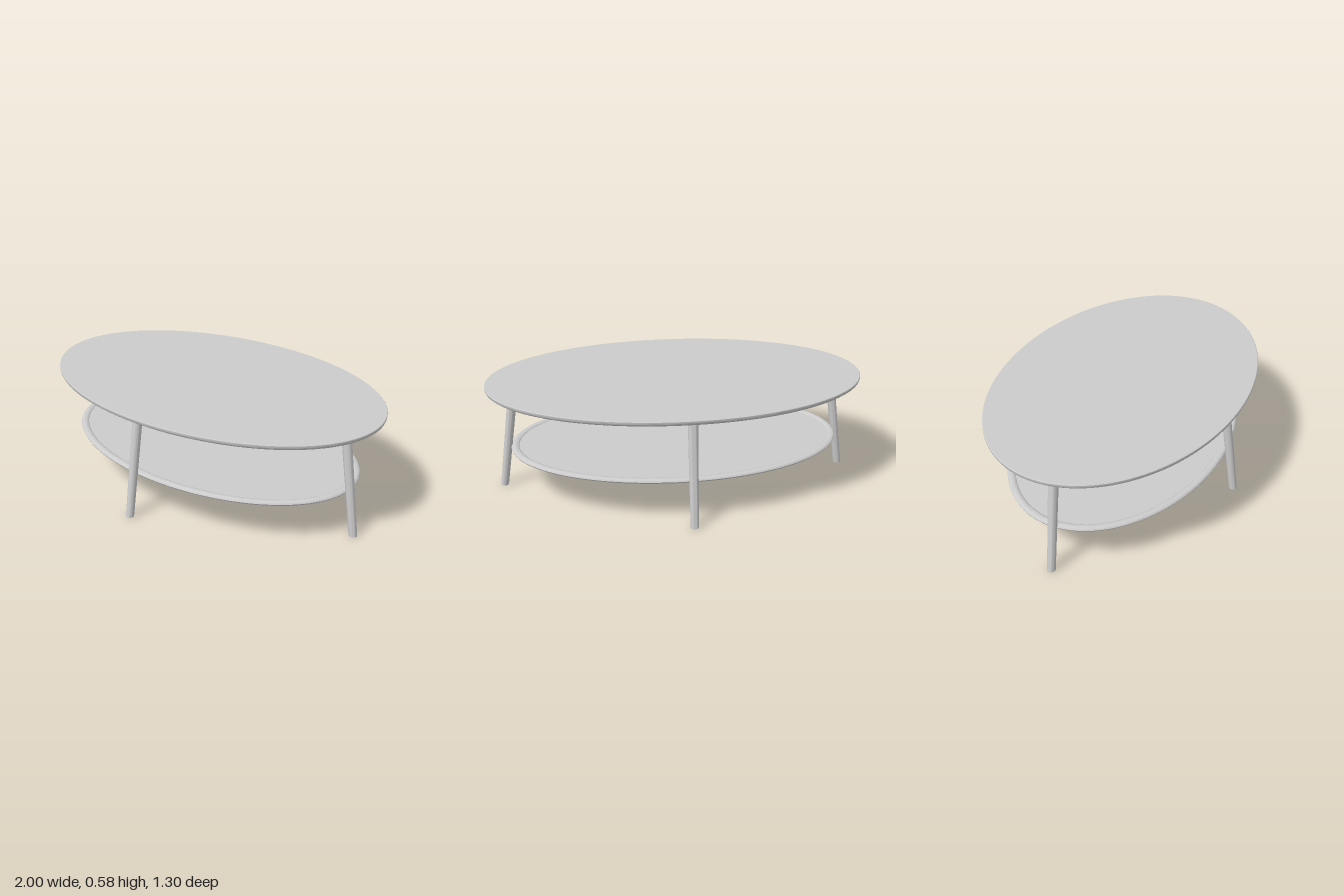
import * as THREE from 'three';
import { toCreasedNormals } from 'three/addons/utils/BufferGeometryUtils.js';

const material = new THREE.MeshStandardMaterial({ color: 0xcccccc });

// Oval solid: profile of [inset from rim, height] pairs, running bottom to top;
// an inset of 1 is the centre point.
function oval(name, rx, rz, profile) {
  const points = profile.map(([inset, y]) => new THREE.Vector2(1 - inset, y));
  const geometry = new THREE.LatheGeometry(points, 128);
  const p = geometry.attributes.position;
  for (let i = 0; i < p.count; i++) {
    const r = Math.hypot(p.getX(i), p.getZ(i));
    if (r < 1e-6) continue;
    const inset = 1 - r;
    p.setX(i, (p.getX(i) / r) * (rx - inset));
    p.setZ(i, (p.getZ(i) / r) * (rz - inset));
  }
  const mesh = new THREE.Mesh(toCreasedNormals(geometry, 0.6), material);
  mesh.name = name;
  return mesh;
}

// Splayed round leg, cut level at the floor and under the top
function leg(name, foot, head) {
  const height = 0.552;
  const geometry = new THREE.CylinderGeometry(0.025, 0.021, height, 32);
  geometry.translate(0, height / 2, 0);
  const p = geometry.attributes.position;
  for (let i = 0; i < p.count; i++) {
    p.setX(i, p.getX(i) + THREE.MathUtils.lerp(foot, head, p.getY(i) / height));
  }
  const mesh = new THREE.Mesh(toCreasedNormals(geometry, 0.6), material);
  mesh.name = name;
  return mesh;
}

export function createModel() {
  const table = new THREE.Group();
  table.name = 'ovalTable';

  // Top with a softly rounded lower edge
  table.add(oval('tableTop', 1, 0.65, [
    [1, 0.546], [0.06, 0.546], [0.03, 0.549], [0.012, 0.554],
    [0.003, 0.561], [0, 0.568], [0, 0.577], [0.003, 0.58], [1, 0.58],
  ]));

  // Lower shelf: rounded rim around a thin panel
  const rim = [];
  for (let i = 0; i <= 16; i++) {
    const a = -Math.PI / 2 + (i / 16) * Math.PI * 2;
    rim.push([0.022 - 0.022 * Math.cos(a), 0.225 + 0.012 * Math.sin(a)]);
  }
  table.add(oval('shelfRim', 0.888, 0.563, rim));
  table.add(oval('shelfPanel', 0.86, 0.535, [[1, 0.22], [0, 0.22], [0, 0.23], [1, 0.23]]));

  // One leg at each end of both axes
  const legs = [
    ['leftLeg', 0.94, 0.855, 0],
    ['backLeg', 0.617, 0.533, Math.PI / 2],
    ['rightLeg', 0.94, 0.855, Math.PI],
    ['frontLeg', 0.617, 0.533, -Math.PI / 2],
  ];
  for (const [name, foot, head, turn] of legs) {
    const mesh = leg(name, foot, head);
    mesh.rotation.y = turn;
    table.add(mesh);
  }
  return table;
}
